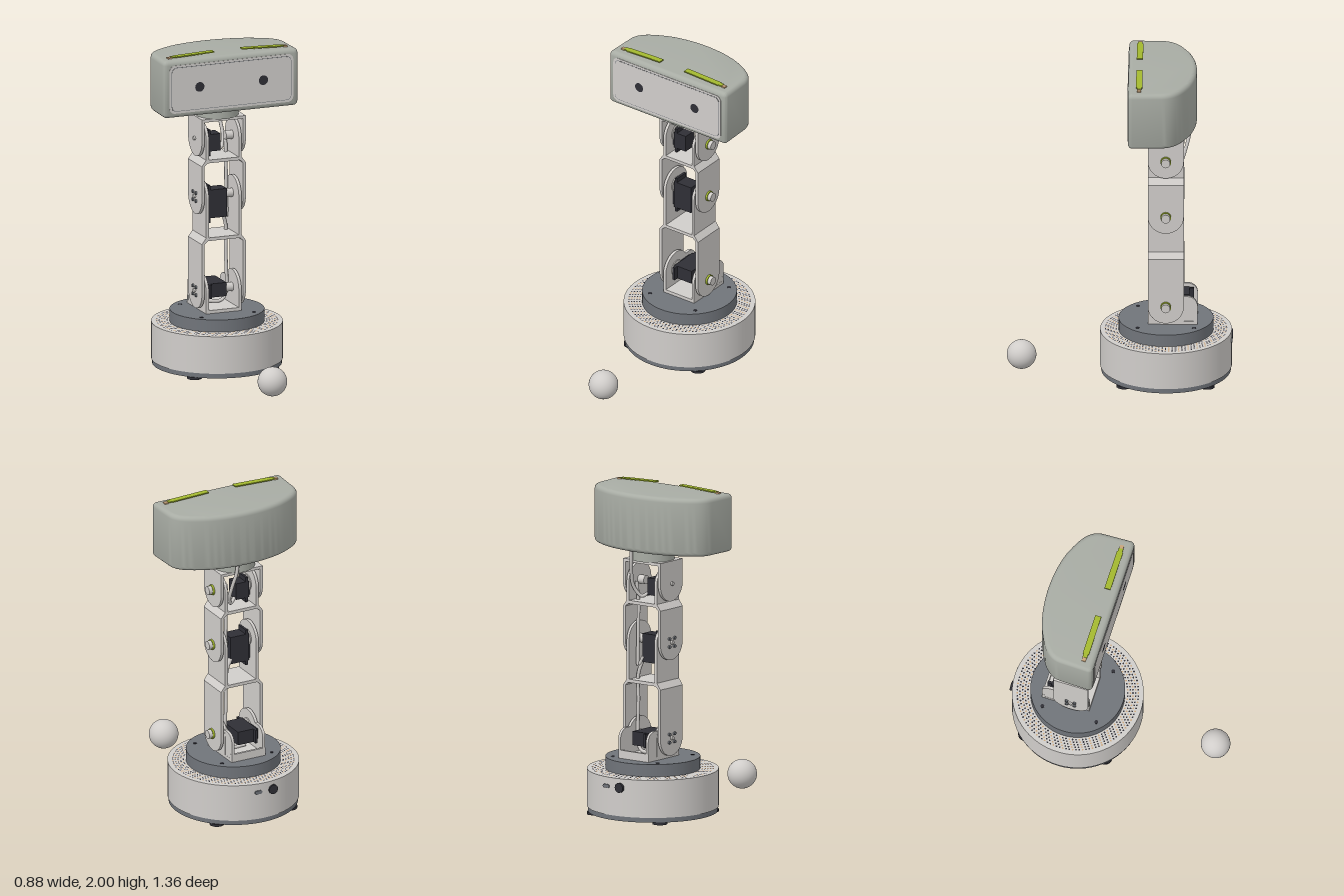
import * as THREE from 'three';
import { mergeGeometries, toCreasedNormals } from 'three/addons/utils/BufferGeometryUtils.js';

const mat = (name, color) => Object.assign(new THREE.MeshStandardMaterial({ color }), { name });

export function createModel() {
  const light = mat('lightGrey', 0xd0cdca);
  const shell = mat('greenGrey', 0xa8aca4);
  const slate = mat('slateGrey', 0x70747a);
  const dark = mat('charcoal', 0x2f2f36);
  const green = mat('limeGreen', 0xa3b82f);
  const tan = mat('tan', 0xc9a57c);

  const root = new THREE.Group();
  root.name = 'deskRobot';
  // everything but the ball and head is laid out around this vertical axis
  const axis = new THREE.Group();
  axis.name = 'bodyAxis';
  axis.position.z = -0.28;
  root.add(axis);

  const add = (parent, name, geo, material, x = 0, y = 0, z = 0) => {
    const m = new THREE.Mesh(geo, material);
    m.name = name;
    m.position.set(x, y, z);
    parent.add(m);
    return m;
  };
  const box = (name, m, x0, x1, y0, y1, z0, z1) =>
    add(axis, name, new THREE.BoxGeometry(x1 - x0, y1 - y0, z1 - z0), m, (x0 + x1) / 2, (y0 + y1) / 2, (z0 + z1) / 2);
  const disc = (name, m, r, y0, y1, x = 0, z = 0, seg = 72) =>
    add(axis, name, new THREE.CylinderGeometry(r, r, y1 - y0, seg), m, x, (y0 + y1) / 2, z);
  // short cylinder lying along x
  const pin = (name, m, r, x0, x1, y, z = 0) =>
    add(axis, name, new THREE.CylinderGeometry(r, r, x1 - x0, 24).rotateZ(Math.PI / 2), m, (x0 + x1) / 2, y, z);
  // plate in the z-y plane, with thickness along x
  const sidePlate = (name, shape, x0, x1) => {
    const g = new THREE.ExtrudeGeometry(shape, { depth: x1 - x0, bevelEnabled: false, curveSegments: 24 });
    return add(axis, name, toCreasedNormals(g.rotateY(Math.PI / 2), 0.5), light, x0);
  };
  const roundRect = (x0, x1, y0, y1, r) => {
    const s = new THREE.Shape();
    s.absarc(x1 - r, y0 + r, r, -Math.PI / 2, 0);
    s.absarc(x1 - r, y1 - r, r, 0, Math.PI / 2);
    s.absarc(x0 + r, y1 - r, r, Math.PI / 2, Math.PI);
    s.absarc(x0 + r, y0 + r, r, Math.PI, Math.PI * 1.5);
    return s;
  };

  // ---- base ----
  disc('baseBottomPlate', slate, 0.39, 0.015, 0.045);
  disc('baseDrum', light, 0.396, 0.045, 0.275);
  disc('turntable', slate, 0.285, 0.275, 0.35);
  for (const sx of [-1, 1]) for (const sz of [-1, 1]) {
    disc('foot', dark, 0.045, 0, 0.016, sx * 0.25, sz * 0.25, 24);
    disc('turntableScrew', dark, 0.012, 0.345, 0.352, sx * 0.17, sz * 0.17, 12);
  }
  // speaker perforation in rings
  const holes = [[], []];
  for (let ring = 0; ring < 5; ring++) {
    const r = 0.3 + ring * 0.016;
    const n = Math.round((Math.PI * 2 * r) / 0.02);
    for (let i = 0; i < n; i++) {
      const a = (i / n) * Math.PI * 2;
      const g = new THREE.CircleGeometry(0.0055, 8).rotateX(-Math.PI / 2);
      g.translate(Math.cos(a) * r, 0.2765, Math.sin(a) * r);
      holes[(i + ring) % 3 === 0 ? 1 : 0].push(g);
    }
  }
  add(axis, 'speakerHoles', mergeGeometries(holes[0]), dark);
  add(axis, 'speakerHolesLit', mergeGeometries(holes[1]), tan);
  // rear sockets
  const socket = new THREE.CylinderGeometry(0.03, 0.03, 0.02, 24).rotateX(Math.PI / 2);
  add(axis, 'powerSocket', socket, dark, -0.055, 0.22, -0.393);
  const port = new THREE.ExtrudeGeometry(roundRect(-0.024, 0.024, -0.011, 0.011, 0.01), { depth: 0.008, bevelEnabled: false });
  add(axis, 'dataPort', port, slate, 0.045, 0.22, -0.4);

  // ---- arm: base bracket, two links and a head yoke ----
  const W = 0.108;
  const pivots = [0.475, 1.06, 1.42];
  const domeUp = (y0, p) => {
    const s = new THREE.Shape();
    s.moveTo(-W, y0);
    s.lineTo(W, y0);
    s.absarc(0, p, W, 0, Math.PI);
    return s;
  };
  const domeDown = (p, y1) => {
    const s = new THREE.Shape();
    s.moveTo(W, y1);
    s.lineTo(-W, y1);
    s.absarc(0, p, W, Math.PI, Math.PI * 2);
    return s;
  };
  const pair = (name, shape, a, b) => {
    sidePlate(name + 'Left', shape, a, b);
    sidePlate(name + 'Right', shape, -b, -a);
  };
  // base bracket with rear gussets
  box('bracketFloor', light, -0.115, 0.115, 0.35, 0.37, -0.19, W);
  pair('bracketSide', domeUp(0.35, pivots[0]), 0.097, 0.115);
  const gusset = new THREE.Shape();
  gusset.moveTo(0.05, 0.35);
  gusset.lineTo(0.19, 0.35);
  gusset.lineTo(0.19, 0.47);
  gusset.absarc(0.13, 0.47, 0.06, 0, Math.PI / 2);
  gusset.lineTo(0.05, 0.53);
  pair('bracketGusset', gusset, 0.097, 0.114);
  box('bracketRearLip', light, -0.115, 0.115, 0.35, 0.4, -0.19, -0.175);

  // links: wide fork below, chamfered bridge, narrow fork above
  [[0, 0.822], [1, 1.305]].forEach(([i, t]) => {
    pair('linkOuter', domeDown(pivots[i], t - 0.038), 0.125, 0.143);
    const s = new THREE.Shape();
    [[-0.143, -0.038], [-0.125, -0.038], [-0.104, -0.02], [0.104, -0.02], [0.125, -0.038],
      [0.143, -0.038], [0.115, 0], [-0.115, 0]].forEach(([x, y], k) => (k ? s.lineTo(x, t + y) : s.moveTo(x, t + y)));
    add(axis, 'linkBridge', new THREE.ExtrudeGeometry(s, { depth: 2 * W, bevelEnabled: false }), light, 0, 0, -W);
    pair('linkInner', domeUp(t - 0.005, pivots[i + 1]), 0.097, 0.115);
  });
  pair('yokeSide', domeDown(pivots[2], 1.555), 0.125, 0.143);
  box('yokeTop', light, -0.143, 0.143, 1.54, 1.558, -W, W);

  // joint hardware
  pivots.forEach((p, i) => {
    pin('jointCollar', green, 0.032, 0.14, 0.155, p);
    pin('jointPin', light, 0.027, 0.05, 0.178, p);
    pin('servoHorn', light, 0.05, -0.126, -0.09, p);
    pin('hornScrew', light, 0.012, -0.155, -0.14, p);
    if (i < 2) for (let k = 0; k < 4; k++) {
      const a = (k * Math.PI) / 2 + Math.PI / 4;
      pin('hornScrew', slate, 0.01, -0.153, -0.14, p + Math.sin(a) * 0.035, Math.cos(a) * 0.035);
    }
  });

  // servos: [x1, y0, y1, z0, z1], ears along the long side
  [[0.045, 0.43, 0.515, -0.14, 0.04, false], [0.045, 0.925, 1.1, -0.045, 0.045, true],
    [0.005, 1.34, 1.445, -0.045, 0.045, true]].forEach(([x1, y0, y1, z0, z1, upright]) => {
    box('servoBody', dark, -0.082, x1, y0, y1, z0, z1);
    const ey = upright ? 0.028 : 0, ez = upright ? 0 : 0.028;
    box('servoEars', dark, -0.075, -0.06, y0 - ey, y1 + ey, z0 - ez, z1 + ez);
    box('servoCap', dark, -0.097, -0.082, y0 + 0.01, y1 - 0.01, z0 + 0.01, z1 - 0.01);
  });

  // cables
  const cable = (name, pts) => {
    const curve = new THREE.CatmullRomCurve3(pts.map((p) => new THREE.Vector3(...p)));
    add(axis, name, new THREE.TubeGeometry(curve, 32, 0.011, 8), light);
  };
  cable('lowerCable', [[-0.05, 0.385, -0.06], [0.05, 0.385, -0.05], [0.075, 0.43, -0.045], [0.075, 0.7, -0.045], [0.075, 0.85, -0.045], [0.04, 0.96, -0.03]]);
  cable('middleCable', [[0.04, 0.96, -0.04], [0.075, 0.9, -0.045], [0.078, 1.05, -0.045], [0.075, 1.3, -0.045], [0.078, 1.42, -0.06]]);
  cable('upperCable', [[0.01, 1.35, -0.03], [0.045, 1.33, -0.05], [0.075, 1.39, -0.09], [0.07, 1.48, -0.12], [0.055, 1.56, -0.14], [0.05, 1.64, -0.15]]);

  // ---- head ----
  disc('neck', shell, 0.13, 1.556, 1.63);
  const head = new THREE.Group();
  head.name = 'head';
  root.add(head);
  // plan outline: flat front, curved back; drawn as (x, -z)
  const plan = new THREE.Shape();
  plan.moveTo(-0.408, 0.055);
  plan.lineTo(0.408, 0.055);
  plan.quadraticCurveTo(0.438, 0.055, 0.438, 0.085);
  plan.lineTo(0.433, 0.256);
  plan.bezierCurveTo(0.428, 0.34, 0.36, 0.38, 0.25, 0.427);
  plan.bezierCurveTo(0.16, 0.458, 0.08, 0.466, 0, 0.467);
  plan.bezierCurveTo(-0.08, 0.466, -0.16, 0.458, -0.25, 0.427);
  plan.bezierCurveTo(-0.36, 0.38, -0.428, 0.34, -0.433, 0.256);
  plan.lineTo(-0.438, 0.085);
  plan.quadraticCurveTo(-0.438, 0.055, -0.408, 0.055);
  const B = 0.028;
  const shellGeo = new THREE.ExtrudeGeometry(plan, {
    depth: 0.355 - 2 * B, bevelEnabled: true, bevelSize: B, bevelThickness: B, bevelOffset: -B, bevelSegments: 5, curveSegments: 12,
  }).rotateX(-Math.PI / 2);
  add(head, 'headShell', toCreasedNormals(shellGeo, 0.6), shell, 0, 1.62 + B, 0);

  // face panel with rim groove and eyes
  const plate = (name, shape, m, z) =>
    add(head, name, new THREE.ExtrudeGeometry(shape, { depth: 0.003, bevelEnabled: false }), m, 0, 0, z);
  plate('faceRim', roundRect(-0.402, 0.402, 1.648, 1.946, 0.035), light, -0.056);
  plate('faceGroove', roundRect(-0.389, 0.389, 1.661, 1.933, 0.03), slate, -0.0553);
  plate('facePanel', roundRect(-0.386, 0.386, 1.664, 1.93, 0.028), light, -0.0545);
  for (const s of [-1, 1]) {
    add(head, 'eye', new THREE.CircleGeometry(0.03, 24), dark, s * 0.207, 1.8, -0.0505);
    // folded antenna, rising slightly toward the middle
    const antenna = new THREE.Group();
    antenna.name = 'antenna';
    antenna.position.set(s * 0.36, 1.983, -0.122);
    antenna.rotation.z = -s * 0.035;
    head.add(antenna);
    add(antenna, 'antennaBlade', new THREE.BoxGeometry(0.25, 0.007, 0.038), green, -s * 0.144, 0, 0);
    add(antenna, 'antennaRoot', new THREE.BoxGeometry(0.025, 0.007, 0.028), green, -s * 0.008, 0, 0);
    add(antenna, 'antennaHinge', new THREE.BoxGeometry(0.024, 0.014, 0.024), tan, s * 0.016, -0.006, 0);
  }

  // ---- ball ----
  add(root, 'ball', new THREE.SphereGeometry(0.089, 40, 28), light, 0, 0.104, 0.588);
  return root;
}
